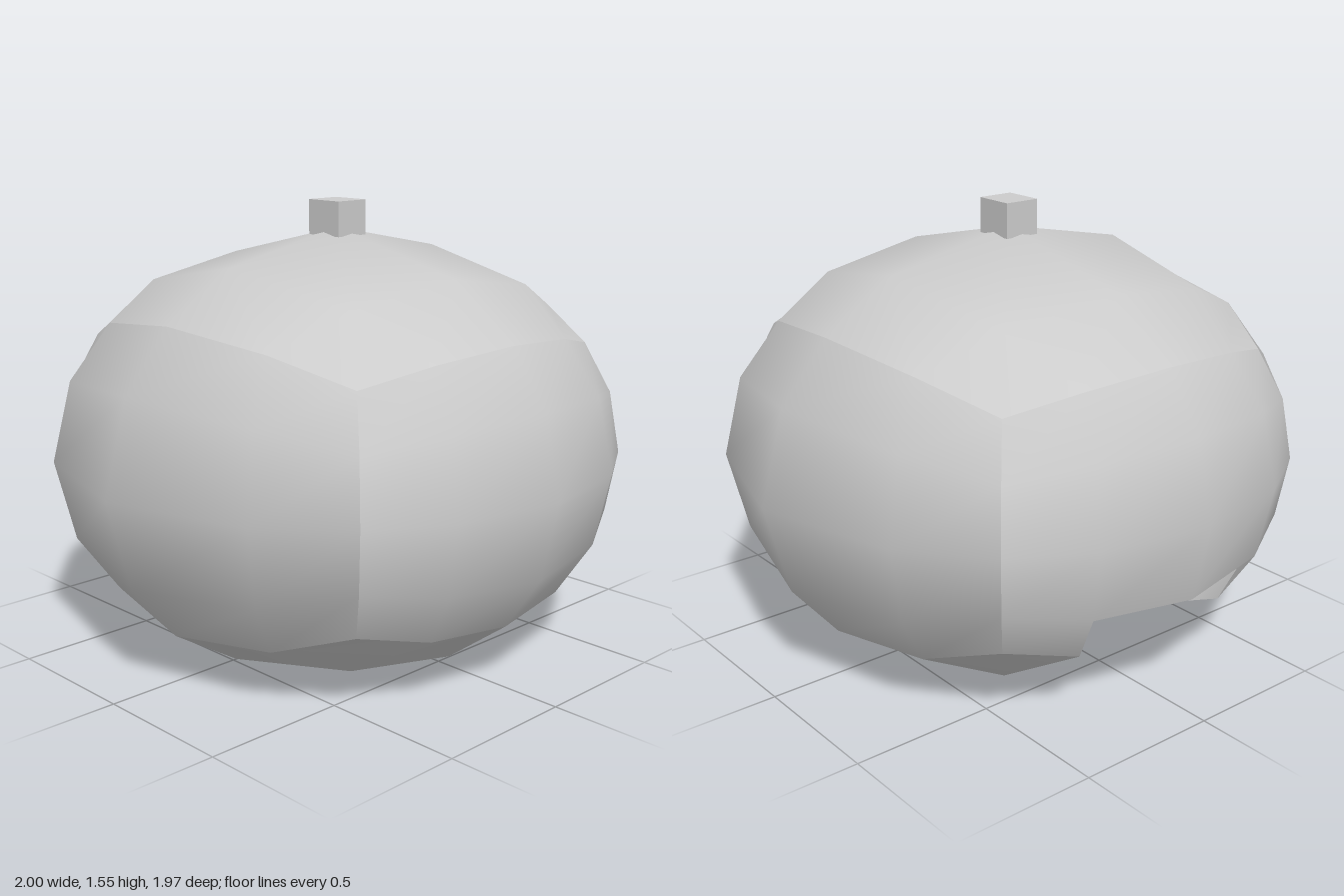
import * as THREE from 'three';

// Proportions of the box that is rounded into a ball, and the final radii
const BOX = new THREE.Vector3(0.56, 0.503, 0.67);
const RADII = new THREE.Vector3(1, 0.775, 0.985);
const CENTRE_Y = 0.685;
const SEGMENTS = 4;

// One side of the rounded box; u x v = n, and skip(i, j) leaves cells open
function roundedSide(n, u, v, skip = () => false) {
  const positions = [], index = [];
  const N = new THREE.Vector3(...n), U = new THREE.Vector3(...u), V = new THREE.Vector3(...v);
  for (let j = 0; j <= SEGMENTS; j++) {
    for (let i = 0; i <= SEGMENTS; i++) {
      const p = N.clone()
        .addScaledVector(U, (2 * i) / SEGMENTS - 1)
        .addScaledVector(V, (2 * j) / SEGMENTS - 1)
        .multiply(BOX).normalize().multiply(RADII);
      positions.push(p.x, p.y + CENTRE_Y, p.z);
    }
  }
  for (let j = 0; j < SEGMENTS; j++) {
    for (let i = 0; i < SEGMENTS; i++) {
      if (skip(i, j)) continue;
      const a = j * (SEGMENTS + 1) + i, b = a + 1;
      const d = a + SEGMENTS + 1, c = d + 1;
      index.push(a, b, c, a, c, d);
    }
  }
  const geometry = new THREE.BufferGeometry();
  geometry.setAttribute('position', new THREE.Float32BufferAttribute(positions, 3));
  geometry.setIndex(index);
  geometry.computeVertexNormals();
  return geometry;
}

export function createModel() {
  const model = new THREE.Group();
  const shell = new THREE.Group();
  shell.name = 'shell';
  model.add(shell);

  const shellMaterial = new THREE.MeshStandardMaterial({ color: 0xcccccc, side: THREE.DoubleSide });
  const middle = (i) => i === 1 || i === 2;

  // The opening runs from the underside up into the lowest row of the back
  const sides = [
    ['frontSide', [0, 0, 1], [1, 0, 0], [0, 1, 0]],
    ['backSide', [0, 0, -1], [-1, 0, 0], [0, 1, 0], (i, j) => middle(i) && j === 0],
    ['leftSide', [1, 0, 0], [0, 0, -1], [0, 1, 0]],
    ['rightSide', [-1, 0, 0], [0, 0, 1], [0, 1, 0]],
    ['topSide', [0, 1, 0], [1, 0, 0], [0, 0, -1]],
    ['underside', [0, -1, 0], [1, 0, 0], [0, 0, 1], (i, j) => middle(i) && j < 3],
  ];
  for (const [name, n, u, v, skip] of sides) {
    const mesh = new THREE.Mesh(roundedSide(n, u, v, skip), shellMaterial);
    mesh.name = name;
    shell.add(mesh);
  }

  // Small block on the crown
  const knob = new THREE.Mesh(
    new THREE.BoxGeometry(0.13, 0.12, 0.144),
    new THREE.MeshStandardMaterial({ color: 0xcccccc })
  );
  knob.name = 'topKnob';
  knob.position.y = 1.495;
  model.add(knob);

  return model;
}
